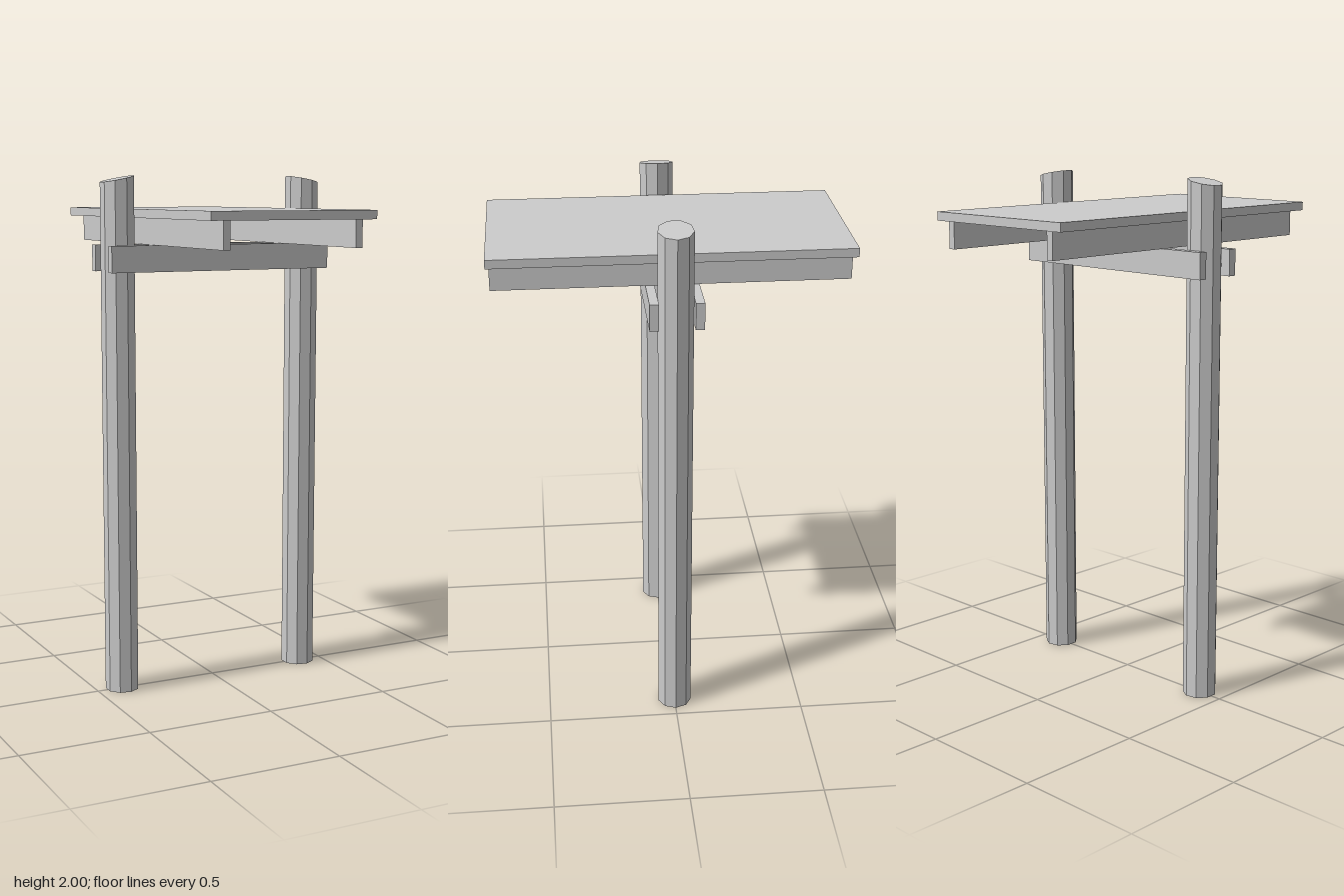
import * as THREE from 'three';

const material = new THREE.MeshStandardMaterial({ color: 0xcccccc, flatShading: true });

function add(parent, name, geometry, x, y, z) {
  const mesh = new THREE.Mesh(geometry, material);
  mesh.name = name;
  mesh.position.set(x, y, z);
  parent.add(mesh);
}

// Nine-sided post whose top is cut at a slant, falling away from the deck
function postGeometry(side) {
  const radius = 0.0655, height = 1.987, slope = 0.2;
  const geometry = new THREE.CylinderGeometry(radius, radius, height, 9, 1, false, Math.PI / 2);
  geometry.translate(0, height / 2, 0);
  const p = geometry.attributes.position;
  for (let i = 0; i < p.count; i++) {
    if (p.getY(i) > 1) p.setY(i, height - side * slope * p.getX(i));
  }
  geometry.computeVertexNormals();
  return geometry;
}

export function createModel() {
  const model = new THREE.Group();
  model.name = 'raisedPlatform';

  // Deck board
  add(model, 'deck', new THREE.BoxGeometry(0.664, 0.033, 1.323), 0, 1.858, 0);

  for (const side of [-1, 1]) {
    const label = side > 0 ? 'left' : 'right';
    // Upright posts
    add(model, label + 'Post', postGeometry(side), side * 0.397, 0, 0);
    // Joists running under the deck
    add(model, label + 'Joist', new THREE.BoxGeometry(0.028, 0.102, 1.3), side * 0.265, 1.791, 0);
    // Cross beams clamping the posts front and back
    add(model, side > 0 ? 'frontBeam' : 'backBeam',
      new THREE.BoxGeometry(0.925, 0.1, 0.033), 0, 1.69, side * 0.081);
  }
  return model;
}
